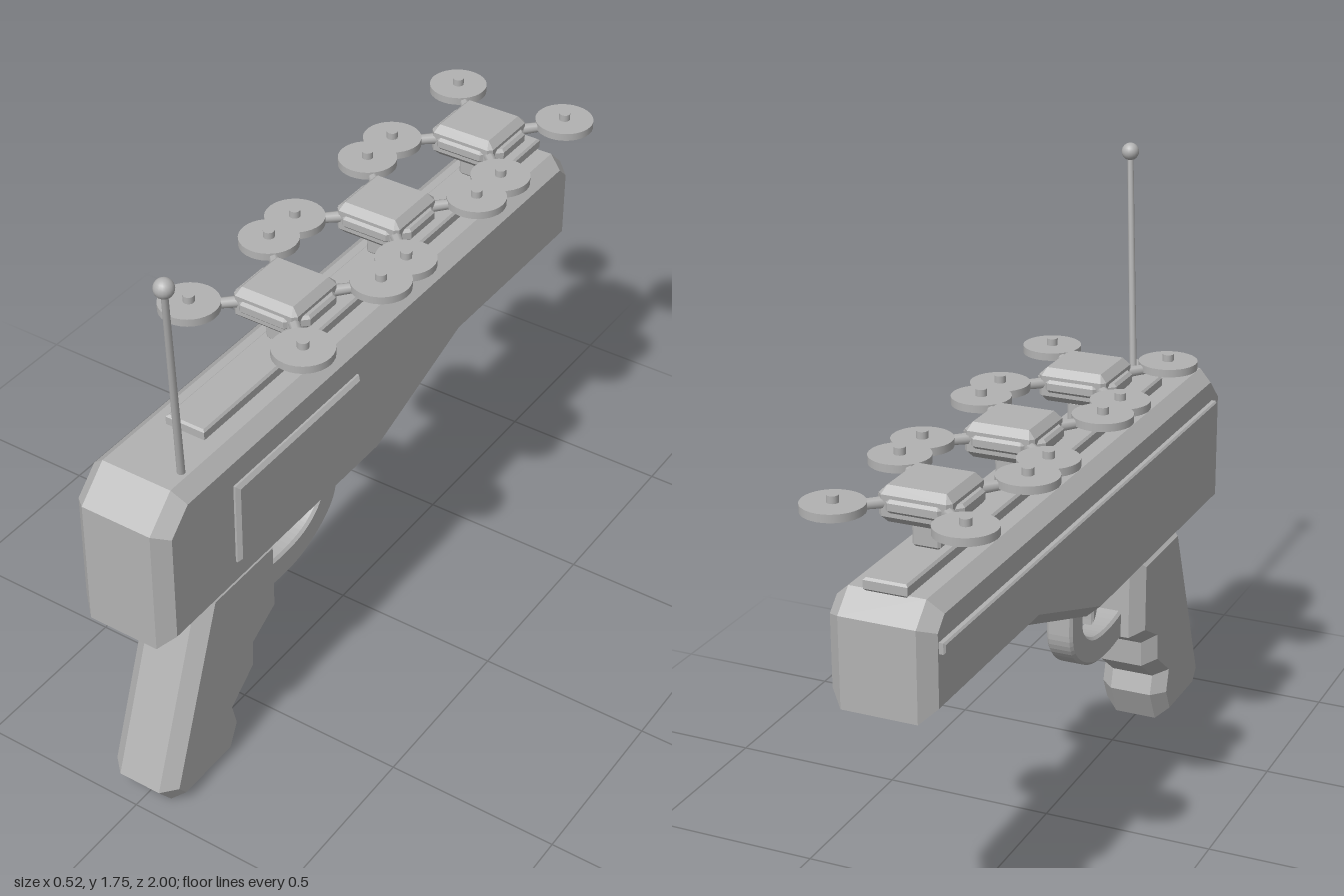
import * as THREE from 'three';

const grey = new THREE.MeshStandardMaterial({ color: 0xb2b2b2 });
grey.name = 'plain grey';

const toShape = (points) => new THREE.Shape(points.map(([a, b]) => new THREE.Vector2(a, b)));

// Chamfered extrusion centred on its own depth; the outline is the widest section
function chamfered(shape, depth, size, thickness = size) {
  const geometry = new THREE.ExtrudeGeometry(shape, {
    depth: depth - 2 * thickness, bevelEnabled: true, bevelSegments: 1, curveSegments: 10,
    bevelSize: size, bevelOffset: -size, bevelThickness: thickness,
  });
  return geometry.translate(0, 0, thickness - depth / 2);
}

// Side profile in (z, y), extruded across x
const sideSlab = (shape, width, size, thickness) =>
  chamfered(shape, width, size, thickness).rotateY(-Math.PI / 2);

// Plan outline in (x, z), extruded upwards
const flatSlab = (shape, height, size) => chamfered(shape, height, size).rotateX(-Math.PI / 2);

const rect = (a, b, c, d) => toShape([[a, b], [c, b], [c, d], [a, d]]);

function octagon(halfX, halfZ, cut) {
  return toShape([
    [halfX, -halfZ + cut], [halfX, halfZ - cut], [halfX - cut, halfZ], [-halfX + cut, halfZ],
    [-halfX, halfZ - cut], [-halfX, -halfZ + cut], [-halfX + cut, -halfZ], [halfX - cut, -halfZ],
  ]);
}

function add(parent, name, geometry, x = 0, y = 0, z = 0) {
  const mesh = new THREE.Mesh(geometry, grey);
  mesh.name = name;
  mesh.position.set(x, y, z);
  parent.add(mesh);
  return mesh;
}

// Round bar between two points
function rod(parent, name, from, to, radiusFrom, radiusTo, sides = 10) {
  const direction = to.clone().sub(from);
  const mesh = add(parent, name, new THREE.CylinderGeometry(radiusTo, radiusFrom, direction.length(), sides));
  mesh.position.copy(from).add(to).multiplyScalar(0.5);
  mesh.quaternion.setFromUnitVectors(new THREE.Vector3(0, 1, 0), direction.normalize());
  return mesh;
}

// Small four-rotor craft on its launch mount
function createDrone() {
  const drone = new THREE.Group();
  drone.name = 'drone';
  add(drone, 'mountBlock', flatSlab(octagon(0.039, 0.039, 0.006), 0.068, 0.008), 0, 1.151, 0);
  add(drone, 'mountNeck', new THREE.CylinderGeometry(0.025, 0.025, 0.03, 12), 0, 1.19, 0);
  add(drone, 'droneBody', flatSlab(octagon(0.1, 0.1, 0.012), 0.097, 0.02), 0, 1.242, 0);
  add(drone, 'droneBand', flatSlab(octagon(0.118, 0.108, 0.05), 0.036, 0.008), 0, 1.243, 0);
  for (const sx of [-1, 1]) {
    for (const sz of [-1, 1]) {
      rod(drone, 'arm', new THREE.Vector3(sx * 0.07, 1.245, sz * 0.07),
        new THREE.Vector3(sx * 0.178, 1.25, sz * 0.178), 0.017, 0.012, 8);
      add(drone, 'rotor', new THREE.CylinderGeometry(0.083, 0.083, 0.022, 32), sx * 0.178, 1.254, sz * 0.178);
      add(drone, 'rotorHub', new THREE.CylinderGeometry(0.016, 0.016, 0.05, 14), sx * 0.178, 1.26, sz * 0.178);
    }
  }
  return drone;
}

export function createModel() {
  const model = new THREE.Group();
  model.name = 'droneLauncher';

  // Main housing
  add(model, 'housing', sideSlab(toShape([
    [1, 0.63], [1, 1], [0.91, 1.087], [-0.94, 1.087], [-1, 1.03],
    [-1, 0.78], [-0.38, 0.78], [0.04, 0.63],
  ]), 0.29, 0.036, 0.04));

  // Grip with finger notches
  add(model, 'grip', sideSlab(toShape([
    [0.775, 0.632], [0.98, 0.065], [0.93, 0], [0.69, 0], [0.643, 0.1], [0.66, 0.16],
    [0.565, 0.235], [0.56, 0.315], [0.457, 0.375], [0.46, 0.632],
  ]), 0.21, 0.034, 0.04));

  // Trigger guard
  const guard = new THREE.Shape();
  guard.moveTo(0.48, 0.375);
  guard.bezierCurveTo(0.38, 0.355, 0.29, 0.355, 0.22, 0.385);
  guard.bezierCurveTo(0.13, 0.425, 0.088, 0.47, 0.088, 0.53);
  guard.lineTo(0.088, 0.64);
  guard.lineTo(0.172, 0.64);
  guard.lineTo(0.172, 0.54);
  guard.bezierCurveTo(0.172, 0.5, 0.22, 0.47, 0.26, 0.458);
  guard.bezierCurveTo(0.32, 0.442, 0.4, 0.445, 0.48, 0.462);
  add(model, 'triggerGuard', sideSlab(guard, 0.08, 0.008));

  // Trigger
  const trigger = new THREE.Shape();
  trigger.moveTo(0.245, 0.64);
  trigger.quadraticCurveTo(0.285, 0.57, 0.278, 0.485);
  trigger.quadraticCurveTo(0.315, 0.5, 0.32, 0.56);
  trigger.lineTo(0.315, 0.64);
  add(model, 'trigger', sideSlab(trigger, 0.05, 0.006));

  // Side panel, side strip and top rail
  add(model, 'sidePanel', sideSlab(rect(0.15, 0.73, 0.71, 0.98), 0.04, 0.01), 0.141);
  add(model, 'sideStrip', sideSlab(rect(-0.96, 0.96, 0.91, 0.99), 0.03, 0.005), -0.147);
  add(model, 'topRail', flatSlab(rect(-0.06, -0.71, 0.06, 0.95), 0.035, 0.006), 0, 1.101, 0);

  // Antenna
  const base = new THREE.Vector3(0.082, 1.06, 0.835);
  const tip = new THREE.Vector3(0.143, 1.72, 0.94);
  rod(model, 'antenna', base, tip, 0.011, 0.009);
  add(model, 'antennaTip', new THREE.SphereGeometry(0.026, 18, 12), tip.x, tip.y, tip.z);

  // Row of drones
  for (const z of [0.267, -0.21, -0.693]) {
    const drone = createDrone();
    drone.position.z = z;
    model.add(drone);
  }
  return model;
}
